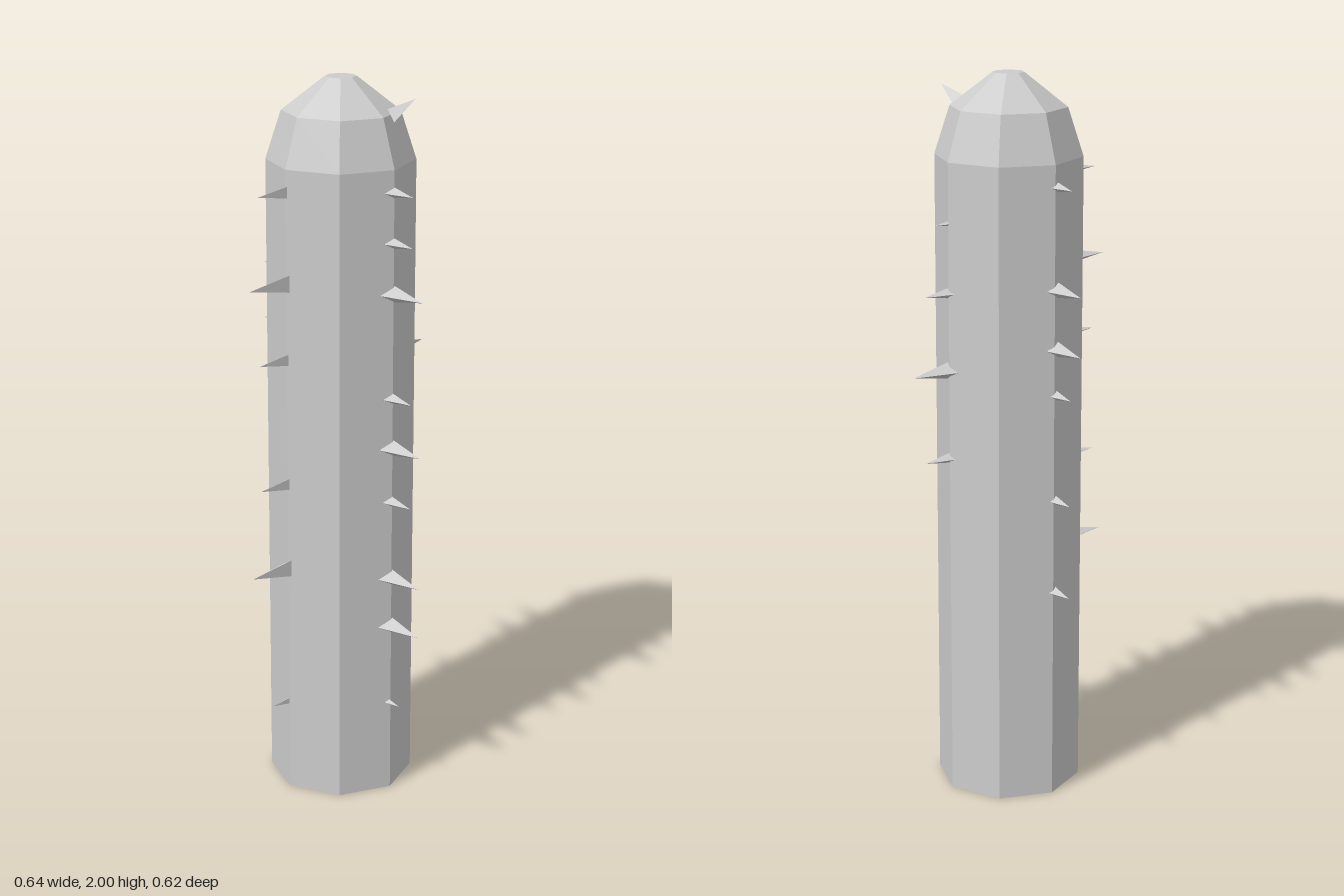
import * as THREE from 'three';

const material = new THREE.MeshStandardMaterial({ color: 0xcccccc, flatShading: true });
const vec = (x, y, z) => new THREE.Vector3(x, y, z);

// Three-sided thorn from base to tip; one base corner lies towards `corner`
function thorn(name, base, tip, corner, radius) {
  const axis = tip.clone().sub(base);
  const length = axis.length();
  axis.normalize();
  const z = corner.clone().addScaledVector(axis, -corner.dot(axis)).normalize();
  const x = axis.clone().cross(z);
  const geometry = new THREE.ConeGeometry(radius, length, 3);
  geometry.translate(0, length / 2, 0);
  geometry.applyMatrix4(new THREE.Matrix4().makeBasis(x, axis, z).setPosition(base));
  const mesh = new THREE.Mesh(geometry, material);
  mesh.name = name;
  return mesh;
}

export function createModel() {
  const model = new THREE.Group();
  model.name = 'cactus';

  // Eight-sided stem with a two-step domed top
  const profile = [[0, 0], [0.2, 0], [0.2, 1.78], [0.158, 1.91], [0.042, 2], [0, 2]];
  const stem = new THREE.Mesh(
    new THREE.LatheGeometry(profile.map(([r, y]) => new THREE.Vector2(r, y)), 8), material);
  stem.name = 'stem';
  stem.position.set(0.003, 0, -0.005);
  model.add(stem);

  // Thorn rows: outward direction, corner direction, sideways shift, [height, reach, base radius]
  const rows = [
    {
      name: 'frontThorn', out: vec(0, 0, 1), corner: vec(-1, 0, 0), shift: vec(-0.004, 0, 0),
      thorns: [[1.72, 0.27, 0.02], [1.585, 0.27, 0.02], [1.447, 0.307, 0.029], [1.158, 0.27, 0.02],
        [1.017, 0.307, 0.029], [0.864, 0.27, 0.02], [0.64, 0.307, 0.029], [0.497, 0.307, 0.029],
        [0.265, 0.235, 0.011]],
    },
    {
      name: 'backThorn', out: vec(0, 0, -1), corner: vec(1, 0, 0), shift: vec(-0.001, 0, 0),
      thorns: [[1.72, 0.268, 0.02], [1.445, 0.308, 0.029], [1.284, 0.308, 0.029],
        [1.158, 0.268, 0.02], [0.863, 0.268, 0.02], [0.6, 0.268, 0.02]],
    },
    {
      name: 'leftThorn', out: vec(1, 0, 0), corner: vec(0, 0, -1), shift: vec(0, 0, -0.004),
      thorns: [[1.618, 0.25, 0.011], [1.43, 0.283, 0.02], [1.217, 0.32, 0.03], [0.973, 0.283, 0.02]],
    },
    {
      name: 'rightThorn', out: vec(-1, 0, 0), corner: vec(0, 0, -1), shift: vec(0, 0, -0.01),
      thorns: [[1.72, 0.29, 0.021], [1.475, 0.322, 0.03], [1.265, 0.29, 0.021],
        [0.913, 0.29, 0.021], [0.668, 0.322, 0.03], [0.265, 0.253, 0.013]],
    },
  ];
  for (const { name, out, corner, shift, thorns } of rows) {
    const row = new THREE.Group();
    row.name = name + 'Row';
    for (const [y, reach, radius] of thorns) {
      const foot = shift.clone().setY(y);
      row.add(thorn(name, foot.clone().addScaledVector(out, 0.178),
        foot.clone().addScaledVector(out, reach), corner, radius));
    }
    model.add(row);
  }

  // Single slanted thorn on the dome
  model.add(thorn('domeThorn', vec(0.058, 1.905, 0.135), vec(0.08, 1.955, 0.193),
    vec(-0.016, -0.015, 0.02), 0.024));

  return model;
}
